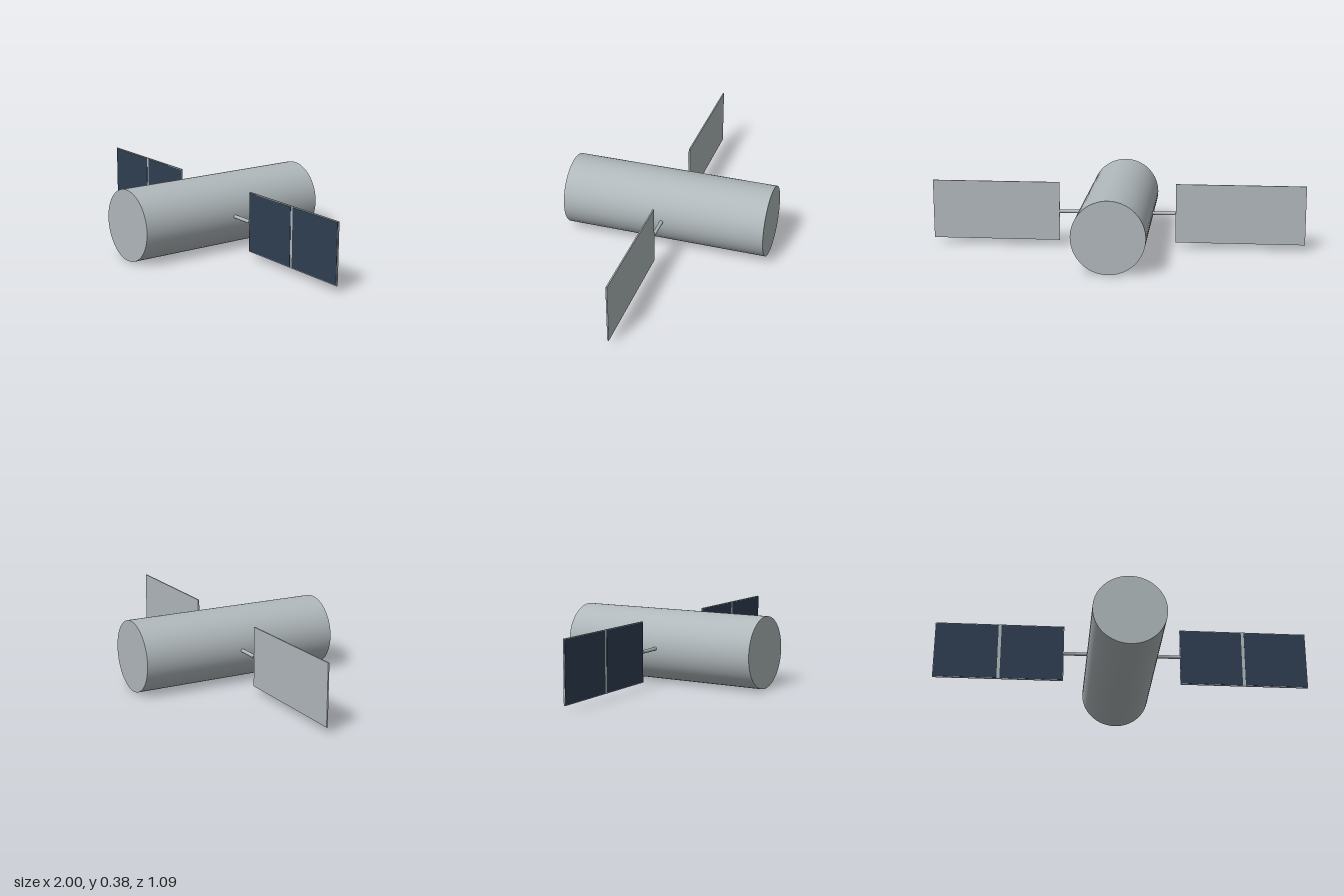
import * as THREE from 'three';

export function createModel() {
  const hull = new THREE.MeshStandardMaterial({ name: 'hull grey', color: 0xb0b8bb });
  const cellBlue = new THREE.MeshStandardMaterial({ name: 'cell navy', color: 0x2f3e52 });

  const radius = 0.188;
  const group = new THREE.Group();
  group.name = 'satellite';

  const add = (parent, name, geometry, material, x, y, z) => {
    const mesh = new THREE.Mesh(geometry, material);
    mesh.name = name;
    mesh.position.set(x, y, z);
    parent.add(mesh);
    return mesh;
  };

  // Cylindrical body lying along z
  const bodyGeometry = new THREE.CylinderGeometry(radius, radius, 1.094, 64).rotateX(Math.PI / 2);
  add(group, 'body', bodyGeometry, hull, 0, radius, 0);

  // Strut, panel and two front solar cells on each side
  for (const side of [1, -1]) {
    const wing = new THREE.Group();
    wing.name = side > 0 ? 'leftWing' : 'rightWing';
    wing.position.y = 0.19;
    group.add(wing);

    const strutGeometry = new THREE.CylinderGeometry(0.0095, 0.0095, 0.152, 20).rotateZ(Math.PI / 2);
    add(wing, 'strut', strutGeometry, hull, side * 0.236, 0, 0);
    add(wing, 'panel', new THREE.BoxGeometry(0.688, 0.318, 0.007), hull, side * 0.656, 0, 0);

    for (const offset of [-0.1745, 0.1745]) {
      add(wing, 'solarCell', new THREE.BoxGeometry(0.333, 0.31, 0.002), cellBlue,
        side * 0.656 + offset, 0, 0.004);
    }
  }
  return group;
}
